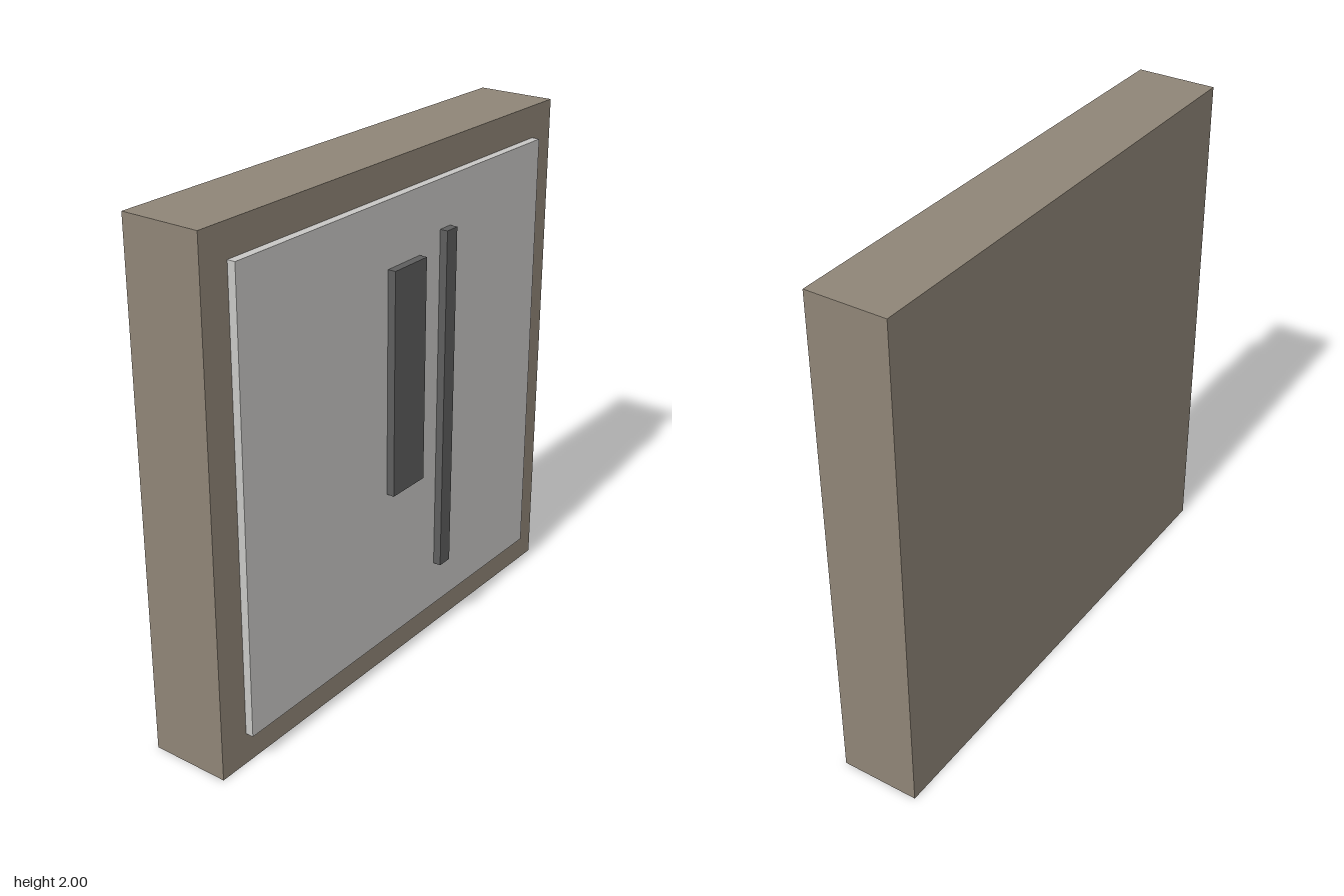
import * as THREE from 'three';

function material(name, color) {
  const m = new THREE.MeshStandardMaterial({ color });
  m.name = name;
  return m;
}

export function createModel() {
  const group = new THREE.Group();
  group.name = 'wallPanel';
  const taupe = material('taupe', 0x8f8577);
  const paleGrey = material('paleGrey', 0xc8c7c5);
  const darkGrey = material('darkGrey', 0x5e5e5e);

  // Box given by its lower and upper limits on each axis
  function box(name, mat, [x0, x1], [y0, y1], [z0, z1]) {
    const mesh = new THREE.Mesh(new THREE.BoxGeometry(x1 - x0, y1 - y0, z1 - z0), mat);
    mesh.position.set((x0 + x1) / 2, (y0 + y1) / 2, (z0 + z1) / 2);
    mesh.name = name;
    group.add(mesh);
  }

  // Thick slab with a raised face plate
  box('backSlab', taupe, [-1, 1], [0, 2], [-0.1875, 0.125]);
  box('facePlate', paleGrey, [-0.875, 0.875], [0.125, 1.875], [0.125, 0.15625]);

  // Raised bars on the plate
  box('wideBar', darkGrey, [-0.09375, 0.09375], [0.75, 1.625], [0.15625, 0.1875]);
  box('narrowBar', darkGrey, [0.21875, 0.28125], [0.3125, 1.6875], [0.15625, 0.1875]);

  return group;
}
